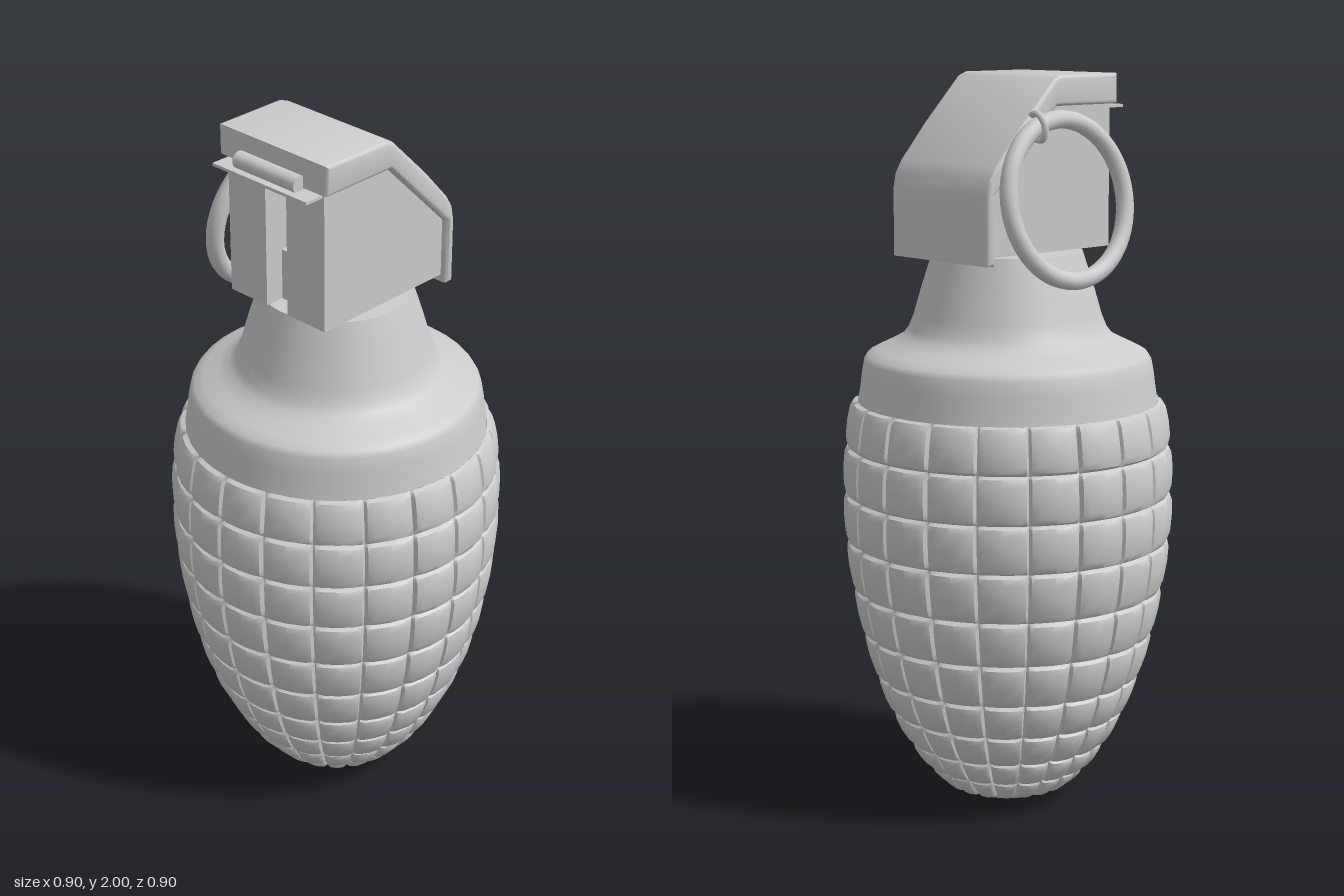
import * as THREE from 'three';
import { toCreasedNormals } from 'three/addons/utils/BufferGeometryUtils.js';

const material = new THREE.MeshStandardMaterial({ color: 0xcccccc, side: THREE.DoubleSide });

function add(parent, name, geometry) {
  const mesh = new THREE.Mesh(geometry, material);
  mesh.name = name;
  parent.add(mesh);
  return mesh;
}

// Extrudes a side outline of [z, y] points from x0 to x1
function slab(points, x0, x1, bevel = 0) {
  const shape = new THREE.Shape(points.map(([z, y]) => new THREE.Vector2(z, y)));
  const g = new THREE.ExtrudeGeometry(shape, {
    depth: x1 - x0 - 2 * bevel, bevelEnabled: bevel > 0, bevelThickness: bevel,
    bevelSize: bevel, bevelOffset: -bevel, bevelSegments: 3,
  });
  g.rotateY(-Math.PI / 2);
  g.translate(x1 - bevel, 0, 0);
  return toCreasedNormals(g, 0.6);
}

function lathe(points, segments) {
  return new THREE.LatheGeometry(points.map(([r, y]) => new THREE.Vector2(r, y)), segments);
}

// Rows and columns of pillowed tiles separated by narrow grooves
function tiledShell() {
  const columns = 20;
  const grooves = [[0.408, 1.125], [0.428, 1.0], [0.432, 0.87], [0.428, 0.74], [0.41, 0.605],
    [0.385, 0.48], [0.35, 0.36], [0.31, 0.26], [0.26, 0.17], [0.21, 0.1], [0.145, 0.04]];
  const steps = [0, 0.05, 0.18, 0.5, 0.82, 0.95];
  const lift = [0, 0.6, 0.9, 1, 0.9, 0.6];
  const n = steps.length, around = columns * n;
  const positions = [], index = [];
  const rows = (grooves.length - 1) * n + 1;

  for (let i = 0; i < rows; i++) {
    const k = Math.min(Math.floor(i / n), grooves.length - 2);
    const last = i === rows - 1;
    const t = last ? 1 : steps[i % n];
    const rowLift = last ? 0 : lift[i % n];
    const [r0, y0] = grooves[k], [r1, y1] = grooves[k + 1];
    const dr = r1 - r0, dy = y1 - y0, length = Math.hypot(dr, dy);
    for (let j = 0; j < around; j++) {
      const angle = ((Math.floor(j / n) + steps[j % n]) / columns) * Math.PI * 2;
      const h = 0.022 * rowLift * lift[j % n];
      const r = r0 + dr * t - (dy / length) * h;
      const y = y0 + dy * t + (dr / length) * h;
      positions.push(r * Math.sin(angle), y, r * Math.cos(angle));
      if (!last) {
        const a = i * around + j, b = i * around + ((j + 1) % around);
        index.push(a, a + around, b, b, a + around, b + around);
      }
    }
  }
  const g = new THREE.BufferGeometry();
  g.setAttribute('position', new THREE.Float32BufferAttribute(positions, 3));
  g.setIndex(index);
  g.computeVertexNormals();
  return toCreasedNormals(g, 0.7);
}

export function createModel() {
  const model = new THREE.Group();
  model.name = 'model';

  // Body
  const body = new THREE.Group();
  body.name = 'body';
  model.add(body);
  add(body, 'tiledShell', tiledShell());
  add(body, 'bottomCap', lathe([[0, 0], [0.06, 0.004], [0.11, 0.014], [0.145, 0.04]], 40));
  add(body, 'shoulderAndNeck', lathe([[0.408, 1.125], [0.402, 1.16], [0.397, 1.2], [0.39, 1.238],
    [0.38, 1.254], [0.355, 1.267], [0.315, 1.286], [0.285, 1.303], [0.268, 1.325], [0.254, 1.36],
    [0.234, 1.43], [0.202, 1.53]], 40));
  add(body, 'neckTop', lathe([[0.202, 1.53], [0, 1.535]], 40));

  // Head block with a slot in its front
  const head = new THREE.Group();
  head.name = 'head';
  model.add(head);
  const sideOutline = (front) => [[front, 1.54], [front, 1.95], [0, 1.95], [-0.222, 1.71], [-0.222, 1.54]];
  for (const side of [-1, 1]) {
    const edges = [side * 0.037, side * 0.168].sort((a, b) => a - b);
    add(head, 'headCheek', slab(sideOutline(0.215), ...edges));
  }
  add(head, 'slotBack', slab(sideOutline(0.04), -0.037, 0.037));
  const stop = add(head, 'slotStop', new THREE.BoxGeometry(0.074, 0.14, 0.12));
  stop.position.set(0, 1.61, 0.1);

  // Lever folded over the head and down its back
  add(head, 'lever', slab([[0.225, 1.92], [0.225, 2], [0.015, 2], [-0.01, 1.99], [-0.13, 1.87],
    [-0.215, 1.775], [-0.237, 1.74], [-0.245, 1.7], [-0.245, 1.52], [-0.22, 1.52], [-0.22, 1.7],
    [0, 1.92]], -0.19, 0.19, 0.011));

  // Hinge at the front edge
  const hinge = add(head, 'hingePin', new THREE.CylinderGeometry(0.023, 0.023, 0.212, 20));
  hinge.rotation.z = Math.PI / 2;
  hinge.position.set(0, 1.932, 0.236);
  const lip = add(head, 'hingeLip', new THREE.BoxGeometry(0.326, 0.008, 0.075));
  lip.position.set(0, 1.912, 0.235);

  // Pull ring hanging against the right side
  const ring = add(model, 'pullRing', new THREE.TorusGeometry(0.21, 0.024, 14, 56));
  ring.rotation.set(0, Math.PI / 2, 0);
  const ringTilt = new THREE.Group();
  ringTilt.name = 'pullRingGroup';
  ringTilt.position.set(-0.233, 1.68, -0.003);
  ringTilt.rotation.z = -0.17;
  ringTilt.add(ring);
  model.add(ringTilt);

  // Wire loop joining the ring to the head
  const wire = new THREE.CatmullRomCurve3([[-0.15, 1.86, -0.09], [-0.185, 1.9, -0.09],
    [-0.21, 1.905, -0.092], [-0.232, 1.875, -0.088], [-0.222, 1.84, -0.085], [-0.16, 1.845, -0.085],
  ].map((p) => new THREE.Vector3(...p)));
  add(model, 'safetyWire', new THREE.TubeGeometry(wire, 28, 0.009, 8));

  return model;
}
